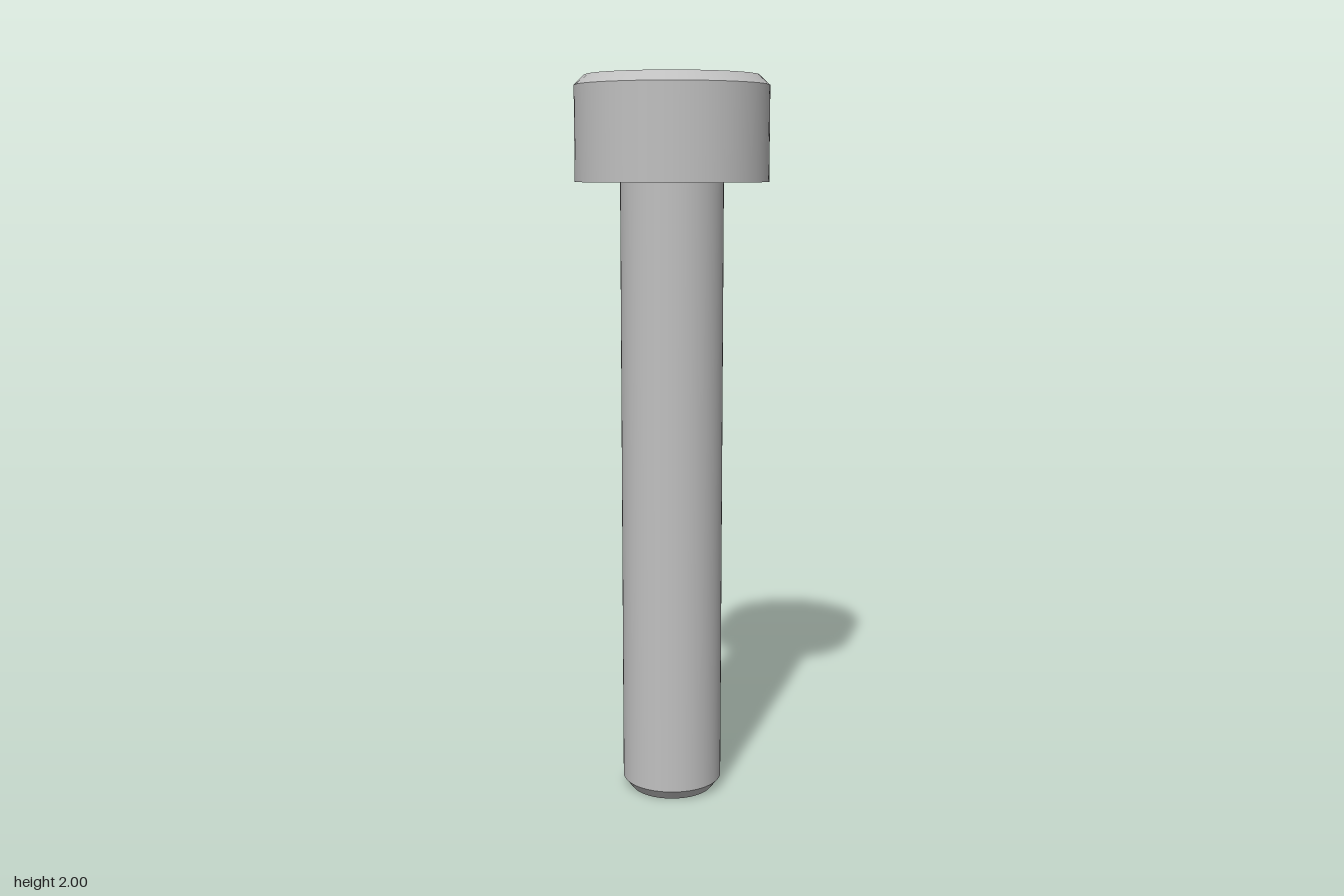
import * as THREE from 'three';

const HEAD_R = 0.262, RIM_R = 0.235, SHANK_R = 0.14, HEX_R = 0.138;
const HEAD_Y = 1.72, BEVEL_Y = 1.973, TOP_Y = 2;
const RIM_SIDES = 23, RIM_TURN = Math.PI - 0.02, HEX_TURN = -0.045;

// Revolved strip between two (radius, height) points; front faces left of its direction
function ring(a, b, segments = 64, start = 0) {
  return new THREE.LatheGeometry([new THREE.Vector2(...a), new THREE.Vector2(...b)], segments, start);
}

// Pull the vertices at the given radius onto a regular polygon
function polygonise(geo, radius, sides, turn, apexY) {
  const pos = geo.attributes.position, step = (2 * Math.PI) / sides;
  for (let i = 0; i < pos.count; i++) {
    const x = pos.getX(i), y = pos.getY(i), z = pos.getZ(i);
    if (Math.abs(Math.hypot(x, z) - radius) > 1e-4) continue;
    const angle = Math.atan2(x, z) - turn;
    const offset = angle - (Math.floor(angle / step) + 0.5) * step;
    const k = Math.cos(step / 2) / Math.cos(offset);
    pos.setXYZ(i, x * k, apexY === undefined ? y : apexY + (y - apexY) * k, z * k);
  }
  return geo;
}

// Corners of a regular polygon, laid out for a shape that is then tipped flat
function corners(radius, sides, turn) {
  return Array.from({ length: sides }, (_, i) => {
    const a = turn + (i * 2 * Math.PI) / sides;
    return new THREE.Vector2(radius * Math.sin(a), -radius * Math.cos(a));
  });
}

export function createModel() {
  const steel = new THREE.MeshStandardMaterial({ color: 0xc0c0c0 });
  steel.name = 'steel grey';
  const model = new THREE.Group();
  model.name = 'socketHeadBolt';
  const add = (parent, name, geo) => {
    const mesh = new THREE.Mesh(geo, steel);
    mesh.name = name;
    parent.add(mesh);
  };

  // Shank with a chamfered tip
  const shank = new THREE.Group();
  shank.name = 'shank';
  add(shank, 'tipFace', ring([0, 0], [0.116, 0]));
  add(shank, 'tipChamfer', ring([0.116, 0], [SHANK_R, 0.03]));
  add(shank, 'shankSide', ring([SHANK_R, 0.03], [SHANK_R, HEAD_Y]));

  // Cylindrical head with a bevel that ends in a faceted rim
  const head = new THREE.Group();
  head.name = 'head';
  add(head, 'headUnderside', ring([SHANK_R, HEAD_Y], [HEAD_R, HEAD_Y]));
  add(head, 'headSide', ring([HEAD_R, HEAD_Y], [HEAD_R, BEVEL_Y], 69, RIM_TURN));
  add(head, 'headBevel', polygonise(
    ring([HEAD_R, BEVEL_Y], [RIM_R, TOP_Y], 69, RIM_TURN), RIM_R, RIM_SIDES, RIM_TURN));

  // Flat top face with the hexagonal opening
  const face = new THREE.Shape(corners(RIM_R, RIM_SIDES, RIM_TURN));
  face.holes.push(new THREE.Path(corners(HEX_R, 6, HEX_TURN)));
  add(head, 'headTop', new THREE.ShapeGeometry(face).rotateX(-Math.PI / 2).translate(0, TOP_Y, 0));

  // Socket walls, mirrored so they face inward
  const socket = new THREE.Group();
  socket.name = 'hexSocket';
  const depth = 0.145;
  const walls = new THREE.CylinderGeometry(HEX_R, HEX_R, depth, 6, 1, true, -HEX_TURN)
    .scale(-1, 1, 1).translate(0, TOP_Y - depth / 2, 0).toNonIndexed();
  // Mirroring reverses each triangle, so the recomputed normals point to the axis
  walls.computeVertexNormals();
  add(socket, 'socketWalls', walls);

  // Shallow conical socket floor trimmed to the hexagon
  const apexY = 1.825;
  add(socket, 'socketFloor', polygonise(
    ring([HEX_R, 1.865], [0, apexY], 48, HEX_TURN), HEX_R, 6, HEX_TURN, apexY));
  head.add(socket);

  model.add(shank, head);
  return model;
}
